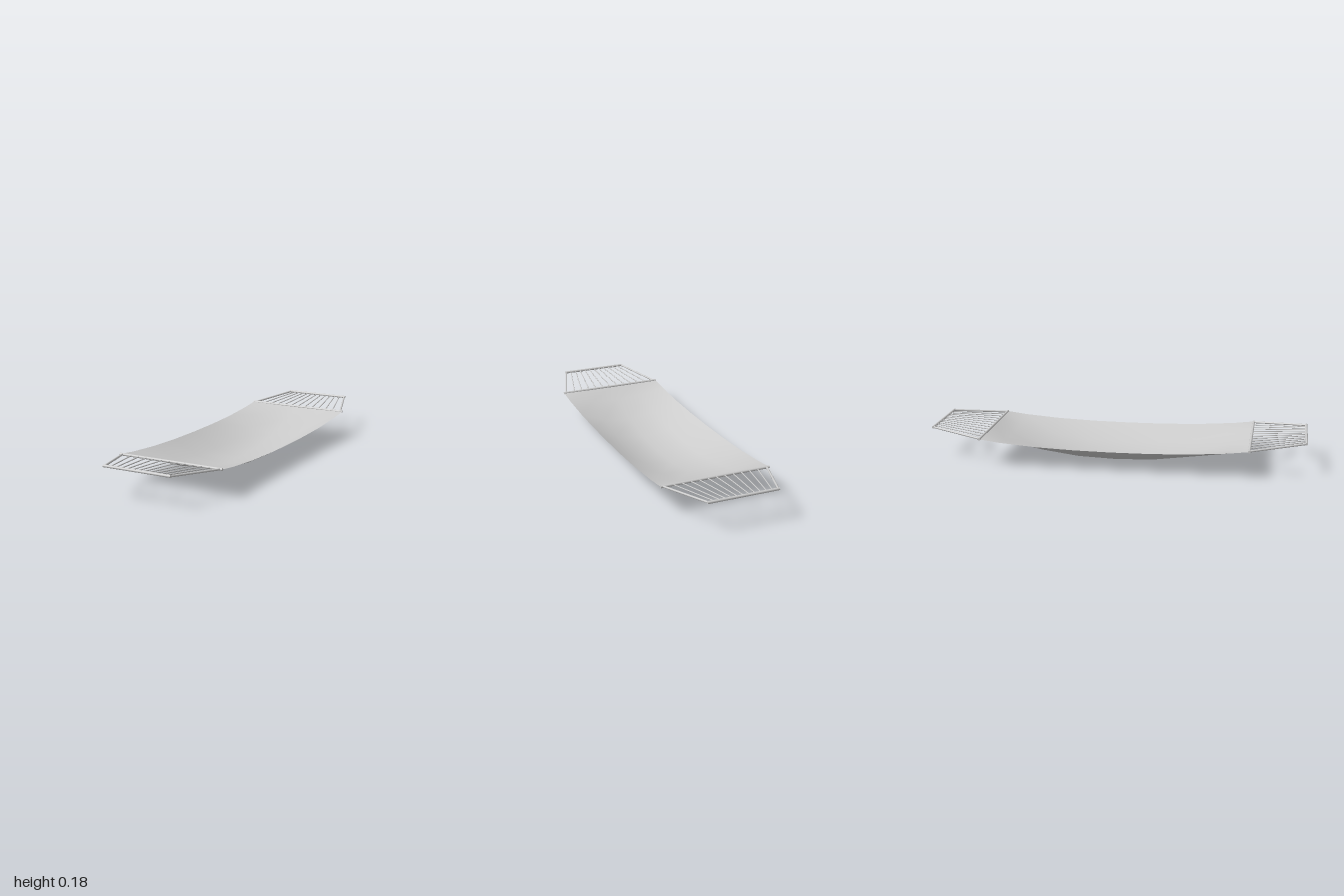
import * as THREE from 'three';

const material = new THREE.MeshStandardMaterial({ color: 0xcccccc });
const clothMaterial = new THREE.MeshStandardMaterial({ color: 0xcccccc, side: THREE.DoubleSide });

// Round rod between two points
function rod(name, a, b, radius, sides) {
  const from = new THREE.Vector3(...a), to = new THREE.Vector3(...b);
  const dir = to.clone().sub(from);
  const mesh = new THREE.Mesh(new THREE.CylinderGeometry(radius, radius, dir.length(), sides), material);
  mesh.position.copy(from).add(to).multiplyScalar(0.5);
  mesh.quaternion.setFromUnitVectors(new THREE.Vector3(0, 1, 0), dir.normalize());
  mesh.name = name;
  return mesh;
}

// Sagging cloth: each row is [z, edge height, middle height]
function createCloth() {
  const half = [[0, 0.11, 0.002], [0.2, 0.112, 0.011], [0.4, 0.119, 0.045], [0.6, 0.134, 0.099], [0.703, 0.147, 0.145]];
  const rows = [...half.slice(1).reverse().map(([z, e, m]) => [-z, e, m]), ...half];
  const columns = [[-0.293, 0], [-0.156, 0.72], [0, 1], [0.156, 0.72], [0.293, 0]]; // x, share of the sag
  const geometry = new THREE.PlaneGeometry(1, 1, columns.length - 1, rows.length - 1);
  const p = geometry.attributes.position;
  rows.forEach(([z, edge, middle], r) => columns.forEach(([x, sag], c) => {
    p.setXYZ(r * columns.length + c, x, edge + (middle - edge) * sag, z);
  }));
  geometry.computeVertexNormals();
  const mesh = new THREE.Mesh(geometry, clothMaterial);
  mesh.name = 'cloth';
  return mesh;
}

// Spreader bar, end bar and the cords fanned between them
function createEnd(side) {
  const end = new THREE.Group();
  const inner = x => [x, 0.147, side * 0.707];
  const outer = x => [x, 0.171, side * 0.993];
  end.add(rod('spreaderBar', inner(-0.293), inner(0.293), 0.007, 12));
  end.add(rod('endBar', outer(-0.187), outer(0.187), 0.007, 12));
  for (const s of [-1, 1]) end.add(rod('sideRod', inner(s * 0.28), outer(s * 0.181), 0.0055, 10));
  for (let i = -5; i <= 5; i++) end.add(rod('cord', inner(i * 0.0455), outer(i * 0.03), 0.003, 8));
  end.name = side > 0 ? 'frontEnd' : 'backEnd';
  return end;
}

export function createModel() {
  const hammock = new THREE.Group();
  hammock.name = 'hammock';
  hammock.add(createCloth(), createEnd(1), createEnd(-1));
  return hammock;
}
